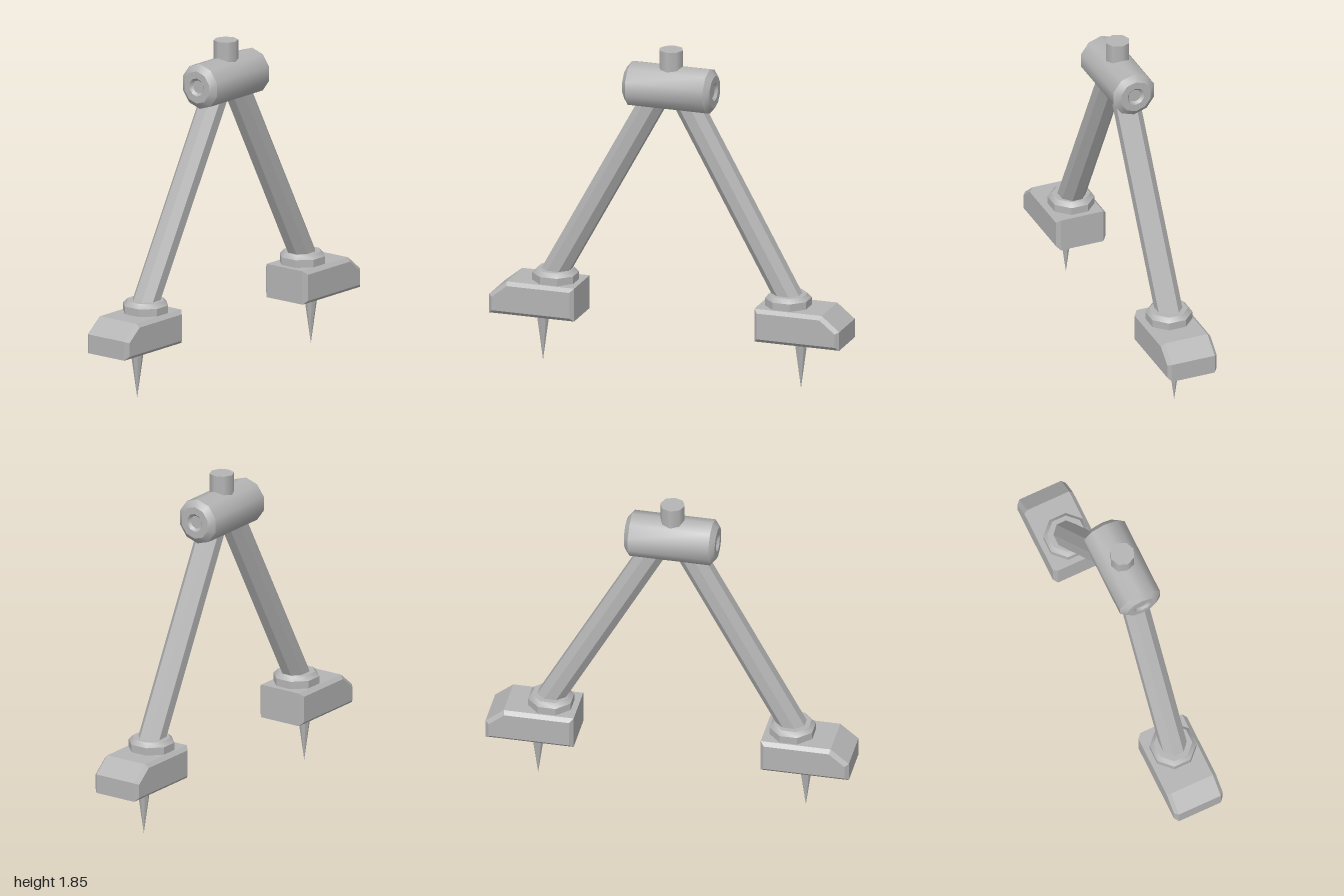
import * as THREE from 'three';
import { toCreasedNormals } from 'three/addons/utils/BufferGeometryUtils.js';

const CREASE = 0.65;
const HUB_X = 0.014;
const steel = new THREE.MeshStandardMaterial({ color: 0xb4b4b4 });
steel.name = 'steelGrey';

function part(name, geometry, parent) {
  const mesh = new THREE.Mesh(geometry, steel);
  mesh.name = name;
  parent.add(mesh);
  return mesh;
}

// Lathe around y from [radius, height] pairs, with hard edges kept
function turned(points, sides, phase = 0) {
  const profile = points.map(([r, y]) => new THREE.Vector2(r, y));
  return toCreasedNormals(new THREE.LatheGeometry(profile, sides, phase), CREASE);
}

// Octagonal bar from the collar up into the hub
function addLeg(side, parent) {
  const foot = new THREE.Vector3(0, 0.48, side * 0.685);
  const top = new THREE.Vector3(HUB_X, 1.62, side * 0.058);
  const dir = top.clone().sub(foot);
  const length = dir.length();
  const geo = new THREE.CylinderGeometry(0.075, 0.075, length, 8, 1, false, Math.PI / 8);
  const leg = part(side > 0 ? 'frontLeg' : 'backLeg', toCreasedNormals(geo, CREASE), parent);
  leg.position.copy(foot).add(top).multiplyScalar(0.5);
  leg.quaternion.setFromUnitVectors(new THREE.Vector3(0, 1, 0), dir.normalize());
}

// Foot block with sloped toe, ankle collar and ground spike
function addFoot(side, parent) {
  const group = new THREE.Group();
  group.name = side > 0 ? 'frontFoot' : 'backFoot';
  group.rotation.y = side > 0 ? 0 : Math.PI;
  parent.add(group);

  const outline = new THREE.Shape(
    [[0.515, 0.28], [1, 0.28], [1, 0.385], [0.9, 0.466], [0.515, 0.466]]
      .map(([z, y]) => new THREE.Vector2(z, y)));
  const bevel = 0.02;
  const block = new THREE.ExtrudeGeometry(outline, {
    depth: 0.29 - 2 * bevel, bevelEnabled: true, bevelSegments: 1,
    bevelSize: bevel, bevelThickness: bevel, bevelOffset: -bevel,
  });
  block.translate(0, 0, bevel - 0.145);
  block.rotateY(-Math.PI / 2);
  part('footBlock', toCreasedNormals(block, 0.3), group);

  const collar = turned([[0.127, 0.45], [0.127, 0.508], [0.104, 0.532], [0, 0.532]], 8, Math.PI / 8);
  part('ankleCollar', collar, group).position.z = 0.665;

  const spike = turned([[0, 0], [0.04, 0.29]], 8);
  part('groundSpike', spike, group).position.z = 0.737;
}

export function createModel() {
  const model = new THREE.Group();
  model.name = 'twoLeggedStand';

  // Hub barrel with chamfered ends and a shallow socket at each end
  const end = [[0, 0.235], [0.036, 0.235], [0.05, 0.25], [0.09, 0.25], [0.125, 0.222]];
  const profile = [...end.map(([r, y]) => [r, -y]), ...end.slice().reverse()];
  const hub = part('hubBarrel', turned(profile, 10), model);
  hub.rotation.x = Math.PI / 2;
  hub.position.set(HUB_X, 1.63, 0);

  // Short post on top of the hub
  const post = part('topPost', new THREE.CylinderGeometry(0.067, 0.067, 0.205, 8), model);
  post.position.set(HUB_X, 1.7425, 0);

  for (const side of [1, -1]) {
    addLeg(side, model);
    addFoot(side, model);
  }
  return model;
}
